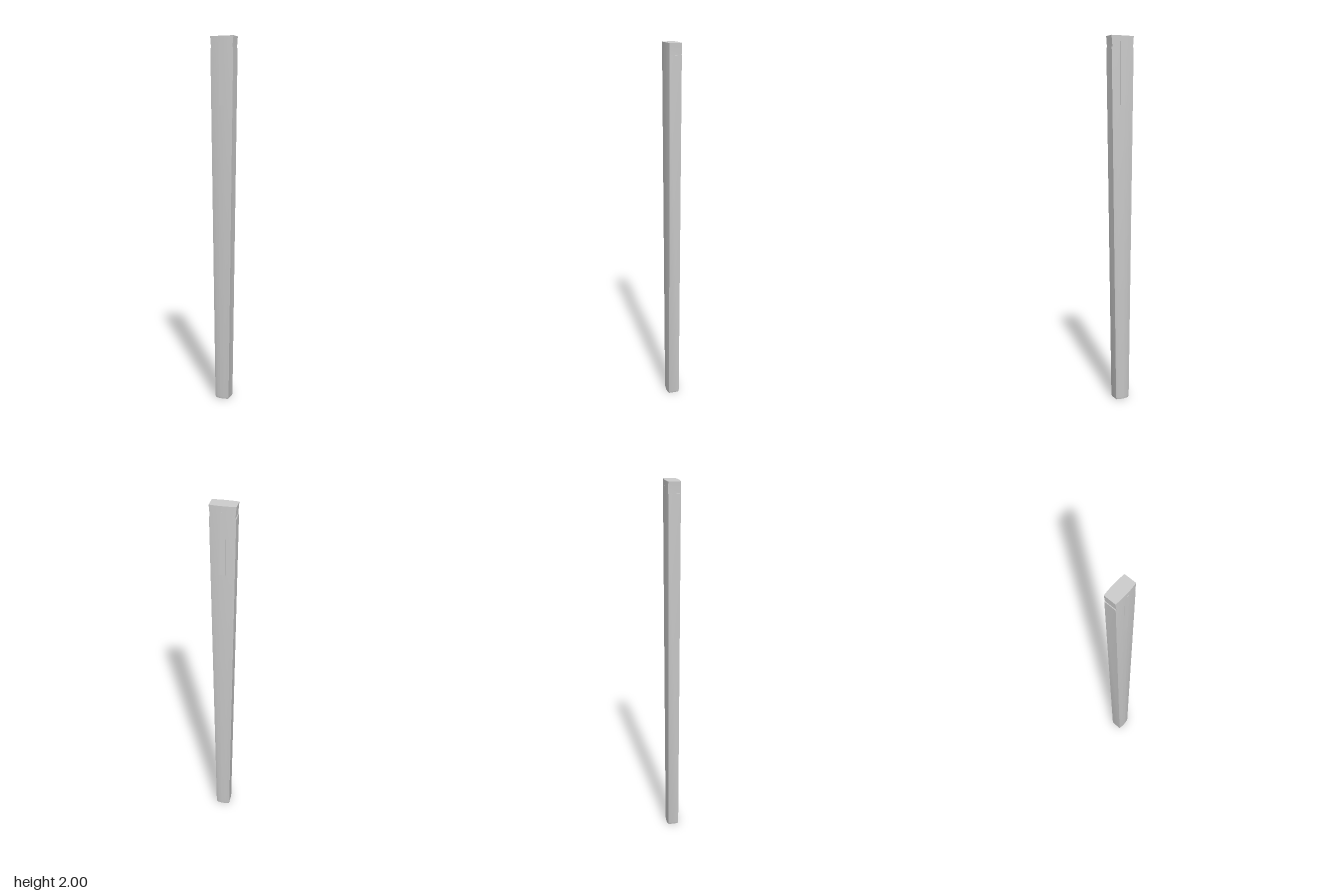
import * as THREE from 'three';
import { toCreasedNormals } from 'three/addons/utils/BufferGeometryUtils.js';

const material = new THREE.MeshStandardMaterial({ color: 0xcccccc });

// Closed cross-section: gently bowed front and back, flat narrow sides
function section(y, halfWidth, edgeZ, bowZ) {
  const points = [];
  const steps = 12;
  for (const side of [1, -1]) {
    for (let i = 0; i <= steps; i++) {
      const t = -1 + (2 * i) / steps;
      points.push([side * t * halfWidth, y, side * (bowZ - (bowZ - edgeZ) * t * t)]);
    }
  }
  return points;
}

// Skin a stack of cross-sections and close both ends
function loft(sections) {
  const n = sections[0].length;
  const last = sections.length - 1;
  const positions = sections.flat(2);
  const index = [];
  for (let i = 0; i < last; i++) {
    for (let j = 0; j < n; j++) {
      const a = i * n + j;
      const b = i * n + ((j + 1) % n);
      index.push(a, b, a + n, b, b + n, a + n);
    }
  }
  const bottom = sections.length * n;
  positions.push(0, sections[0][0][1], 0, 0, sections[last][0][1], 0);
  for (let j = 0; j < n; j++) {
    const k = (j + 1) % n;
    index.push(bottom, k, j, bottom + 1, last * n + j, last * n + k);
  }
  const geometry = new THREE.BufferGeometry();
  geometry.setAttribute('position', new THREE.Float32BufferAttribute(positions, 3));
  geometry.setIndex(index);
  return toCreasedNormals(geometry, 0.6);
}

export function createModel() {
  const group = new THREE.Group();
  group.name = 'taperedBar';

  // Long bar, widening upwards, with a shallow step under its head on each side
  const body = new THREE.Mesh(loft([
    section(0, 0.036, 0.027, 0.033),
    section(0.012, 0.04, 0.03, 0.035),
    section(1.94, 0.065, 0.032, 0.036),
    section(1.94, 0.061, 0.0325, 0.036),
    section(2, 0.066, 0.032, 0.036),
  ]), material);
  body.name = 'body';
  group.add(body);

  // Narrow strips set almost flush into the front and back near the top
  for (const side of [1, -1]) {
    const strip = new THREE.Mesh(new THREE.BoxGeometry(0.028, 0.33, 0.006), material);
    strip.name = side > 0 ? 'frontStrip' : 'backStrip';
    strip.position.set(0, 1.805, side * 0.0335);
    group.add(strip);
  }
  return group;
}
